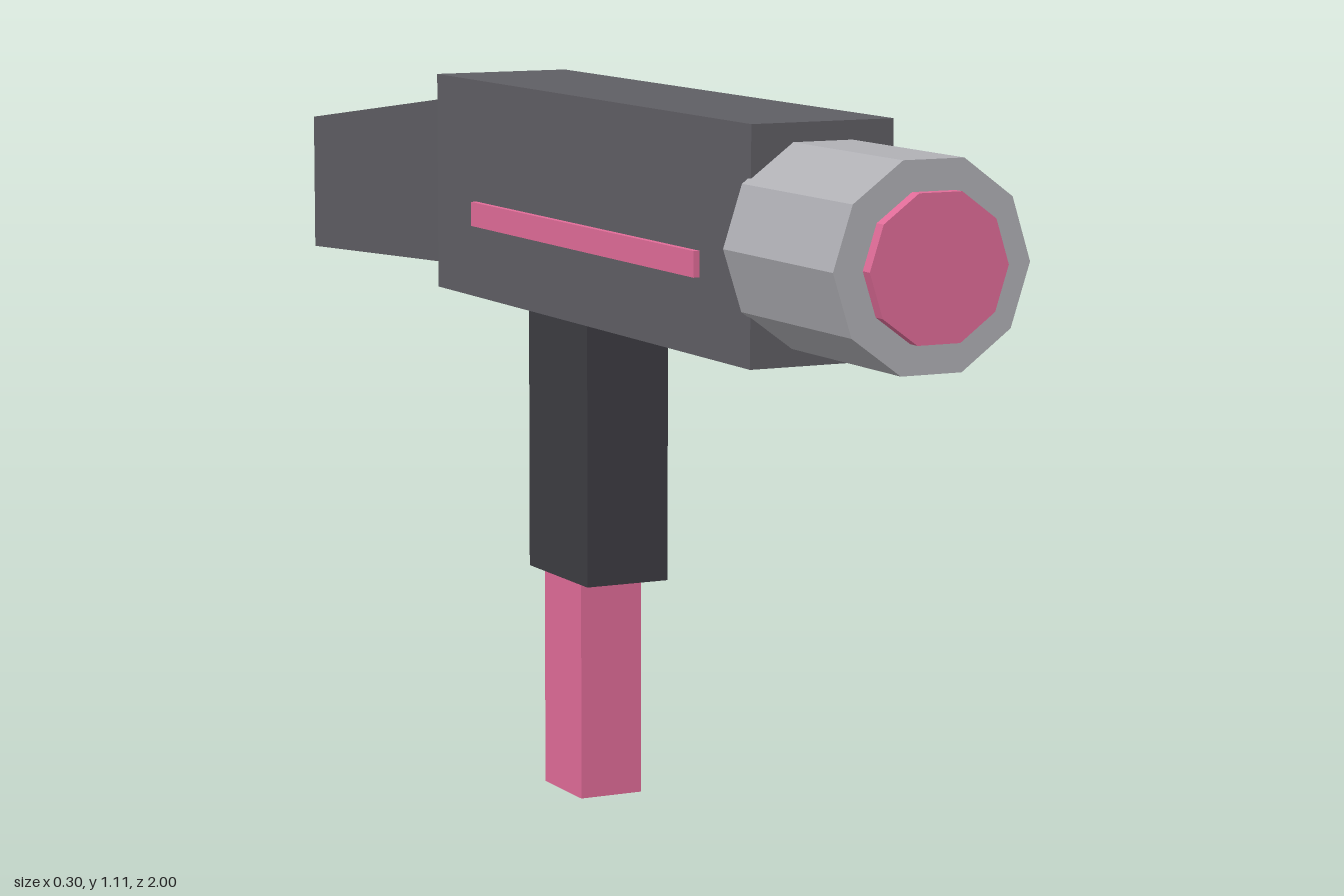
import * as THREE from 'three';

const mat = (color) => new THREE.MeshStandardMaterial({ color, flatShading: true });

export function createModel() {
  const model = new THREE.Group();
  const dark = mat(0x5f5e64), black = mat(0x3d3c42), steel = mat(0xb0b0b5), pink = mat(0xe06c98);

  const add = (name, geometry, material) => {
    const mesh = new THREE.Mesh(geometry, material);
    mesh.name = name;
    model.add(mesh);
    return mesh;
  };
  // Box given by its lower and upper limits on each axis
  const box = (name, [x0, x1], [y0, y1], [z0, z1], material) => {
    const g = new THREE.BoxGeometry(x1 - x0, y1 - y0, z1 - z0);
    g.translate((x0 + x1) / 2, (y0 + y1) / 2, (z0 + z1) / 2);
    return add(name, g, material);
  };
  // Ten-sided cylinder along z, with corners on the x axis
  const tenSided = (name, radius, z0, z1, material) => {
    const g = new THREE.CylinderGeometry(radius, radius, z1 - z0, 10, 1, false, Math.PI / 2);
    g.rotateX(Math.PI / 2).translate(0, 0.935, (z0 + z1) / 2);
    return add(name, g, material);
  };

  box('body', [-0.113, 0.113], [0.765, 1.107], [-0.387, 0.678], dark);

  // Glowing strip on each flank
  for (const [name, s] of [['leftStrip', 1], ['rightStrip', -1]]) {
    box(name, s > 0 ? [0.105, 0.123] : [-0.123, -0.105], [0.878, 0.916], [-0.237, 0.525], pink);
  }

  // Muzzle and its lens
  tenSided('muzzle', 0.152, 0.67, 0.981, steel);
  tenSided('lens', 0.107, 0.95, 1, pink);

  // Tapered, drooping stock
  const stock = new THREE.BoxGeometry(1, 1, 1);
  const p = stock.attributes.position;
  for (let i = 0; i < p.count; i++) {
    const rear = p.getZ(i) < 0, upper = p.getY(i) > 0;
    const halfWidth = rear ? 0.075 : 0.095;
    const y = rear ? (upper ? 0.992 : 0.767) : (upper ? 1.068 : 0.803);
    p.setXYZ(i, Math.sign(p.getX(i)) * halfWidth, y, rear ? -1 : -0.385);
  }
  stock.computeVertexNormals();
  add('stock', stock, dark);

  // Grip with the cell below it
  box('grip', [-0.069, 0.069], [0.347, 0.77], [-0.138, 0.07], black);
  box('powerCell', [-0.052, 0.052], [0, 0.35], [-0.118, 0.013], pink);

  return model;
}
